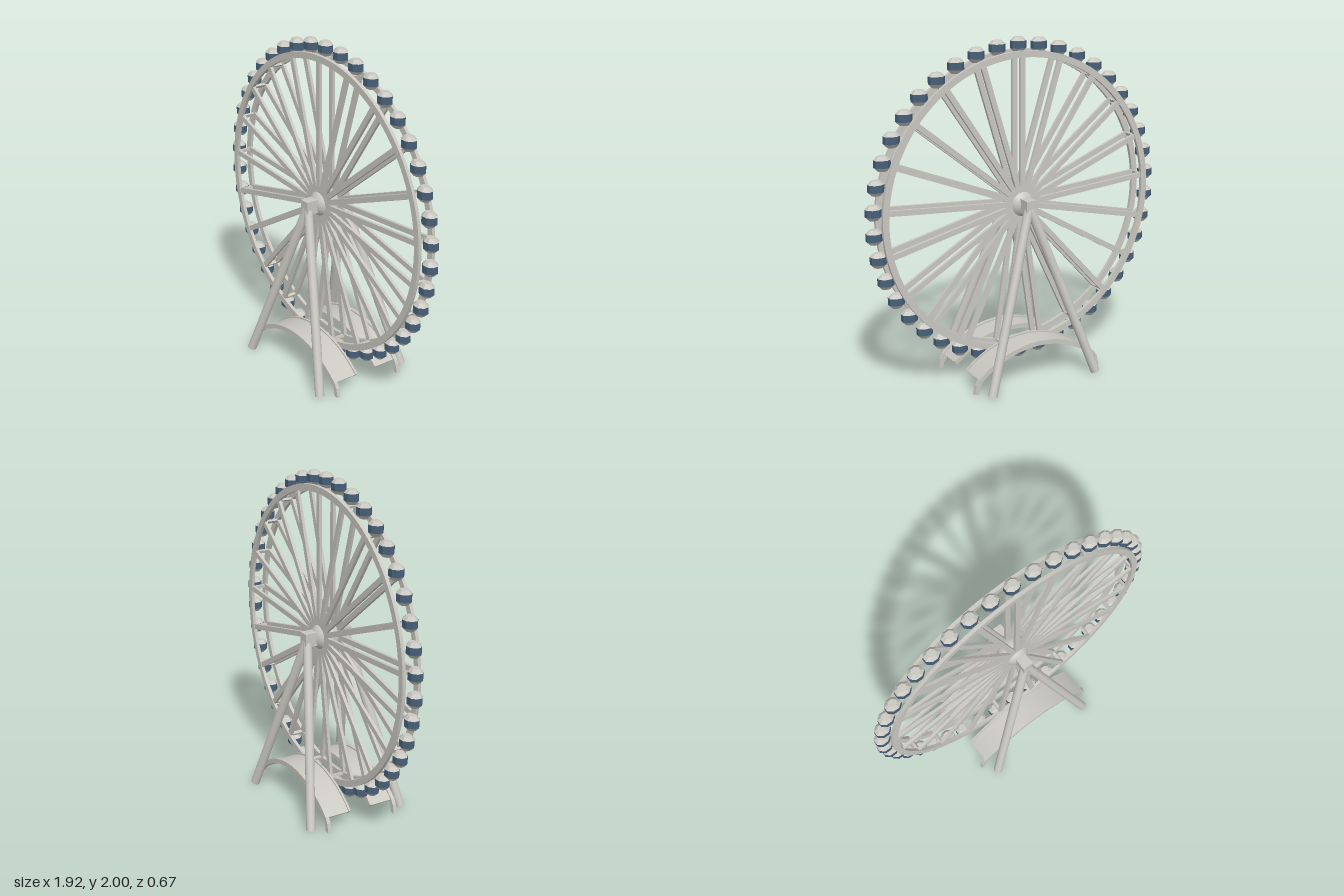
import * as THREE from 'three';
import { mergeGeometries } from 'three/addons/utils/BufferGeometryUtils.js';

const HUB_Y = 1.042, CABINS = 42, SPOKES = 21;
const steel = new THREE.MeshStandardMaterial({ color: 0xc9c7c0 });
steel.name = 'steel grey';
const glass = new THREE.MeshStandardMaterial({ color: 0x486079 });
glass.name = 'window blue';

function add(parent, name, geometry, material = steel) {
  const mesh = new THREE.Mesh(geometry, material);
  mesh.name = name;
  parent.add(mesh);
  return mesh;
}

function extrude(shape, z0, depth, curveSegments = 32) {
  return new THREE.ExtrudeGeometry(shape, { depth, bevelEnabled: false, curveSegments }).translate(0, 0, z0);
}

// Straight round bar between two points
function bar(a, b, radius) {
  const dir = b.clone().sub(a);
  const q = new THREE.Quaternion().setFromUnitVectors(new THREE.Vector3(0, 1, 0), dir.clone().normalize());
  const mid = a.clone().add(b).multiplyScalar(0.5);
  return new THREE.CylinderGeometry(radius, radius, dir.length(), 20)
    .applyQuaternion(q).translate(mid.x, mid.y, mid.z);
}

// Eight-sided faceted ring, flat side to the front, narrower in z
function octagon(rTop, rBottom, height, y, open) {
  const k = 1 / Math.cos(Math.PI / 8);
  const g = new THREE.CylinderGeometry(rTop * k, rBottom * k, height, 8, 1, open)
    .rotateY(Math.PI / 8).scale(1, 1, 0.83).translate(0, y, 0).toNonIndexed();
  g.computeVertexNormals();
  return g;
}

// Curved canopy strip; feet carry it on down to the ground
const ARC_R = 0.58, ARC_Y = -0.342, ARC_T = 0.737;
function archShape(half, feet) {
  const s = new THREE.Shape();
  const a0 = Math.PI / 2 - ARC_T, a1 = Math.PI / 2 + ARC_T;
  const ro = ARC_R + half, ri = ARC_R - half;
  s.moveTo(ro * Math.cos(a0), ARC_Y + ro * Math.sin(a0));
  s.absarc(0, ARC_Y, ro, a0, a1, false);
  if (feet) {
    s.lineTo(-0.418, 0.065);
    s.lineTo(-0.43, 0.012);
    s.lineTo(-0.4, 0.012);
    s.lineTo(-0.392, 0.055);
  }
  s.lineTo(ri * Math.cos(a1), ARC_Y + ri * Math.sin(a1));
  s.absarc(0, ARC_Y, ri, a1, a0, true);
  if (feet) {
    s.lineTo(0.392, 0.055);
    s.lineTo(0.4, 0.012);
    s.lineTo(0.43, 0.012);
    s.lineTo(0.418, 0.065);
  }
  s.closePath();
  return s;
}

function createWheel() {
  const wheel = new THREE.Group();
  wheel.name = 'wheel';
  wheel.position.y = HUB_Y;

  // Two flat rims
  const ring = new THREE.Shape().absarc(0, 0, 0.887, 0, Math.PI * 2, false);
  ring.holes.push(new THREE.Path().absarc(0, 0, 0.849, 0, Math.PI * 2, true));
  add(wheel, 'frontRim', extrude(ring, 0.038, 0.02, 84));
  add(wheel, 'backRim', extrude(ring, -0.058, 0.02, 84));

  // Paired spokes with a tie between the rims at each pair
  const spokes = [], ties = [];
  for (let i = 0; i < SPOKES; i++) {
    const angle = (i / SPOKES) * Math.PI * 2;
    for (const z of [-0.045, 0.045]) {
      spokes.push(new THREE.BoxGeometry(0.032, 0.83, 0.018).translate(0, 0.445, z).rotateZ(angle));
    }
    ties.push(new THREE.BoxGeometry(0.02, 0.014, 0.08).translate(0, 0.857, 0).rotateZ(angle));
  }
  add(wheel, 'spokes', mergeGeometries(spokes));
  add(wheel, 'rimTies', mergeGeometries(ties));

  // Hub ball and axle blocks
  add(wheel, 'hub', new THREE.SphereGeometry(0.09, 32, 20));
  add(wheel, 'axleBlock', new THREE.BoxGeometry(0.064, 0.08, 0.306));

  // Upright cabins around the rim
  const shell = mergeGeometries([
    octagon(0.025, 0.045, 0.021, 0.0315, false),
    octagon(0.045, 0.025, 0.021, -0.0315, false),
  ]);
  const band = octagon(0.045, 0.045, 0.042, 0, true);
  for (let i = 0; i < CABINS; i++) {
    const a = (i / CABINS) * Math.PI * 2;
    const cabin = new THREE.Group();
    cabin.name = 'cabin';
    cabin.position.set(0.918 * Math.sin(a), 0.918 * Math.cos(a), 0);
    add(cabin, 'cabinShell', shell);
    add(cabin, 'cabinWindows', band, glass);
    wheel.add(cabin);
  }
  return wheel;
}

// Splayed legs and arched canopy of one side
function createSupport(side) {
  const support = new THREE.Group();
  support.name = side > 0 ? 'frontSupport' : 'backSupport';
  for (const x of [-1, 1]) {
    add(support, x > 0 ? 'leftLeg' : 'rightLeg', bar(
      new THREE.Vector3(x * 0.004, 1.03, side * 0.127),
      new THREE.Vector3(x * 0.354, 0.012, side * 0.307), 0.027));
  }
  const place = (z, depth) => (side > 0 ? z : -z - depth);
  add(support, 'canopySheet', extrude(archShape(0.005, false), place(0.075, 0.145), 0.145));
  add(support, 'outerArch', extrude(archShape(0.014, true), place(0.213, 0.022), 0.022));
  add(support, 'innerArch', extrude(archShape(0.014, false), place(0.066, 0.012), 0.012));
  return support;
}

export function createModel() {
  const model = new THREE.Group();
  model.name = 'observationWheel';
  model.add(createWheel(), createSupport(1), createSupport(-1));
  return model;
}
